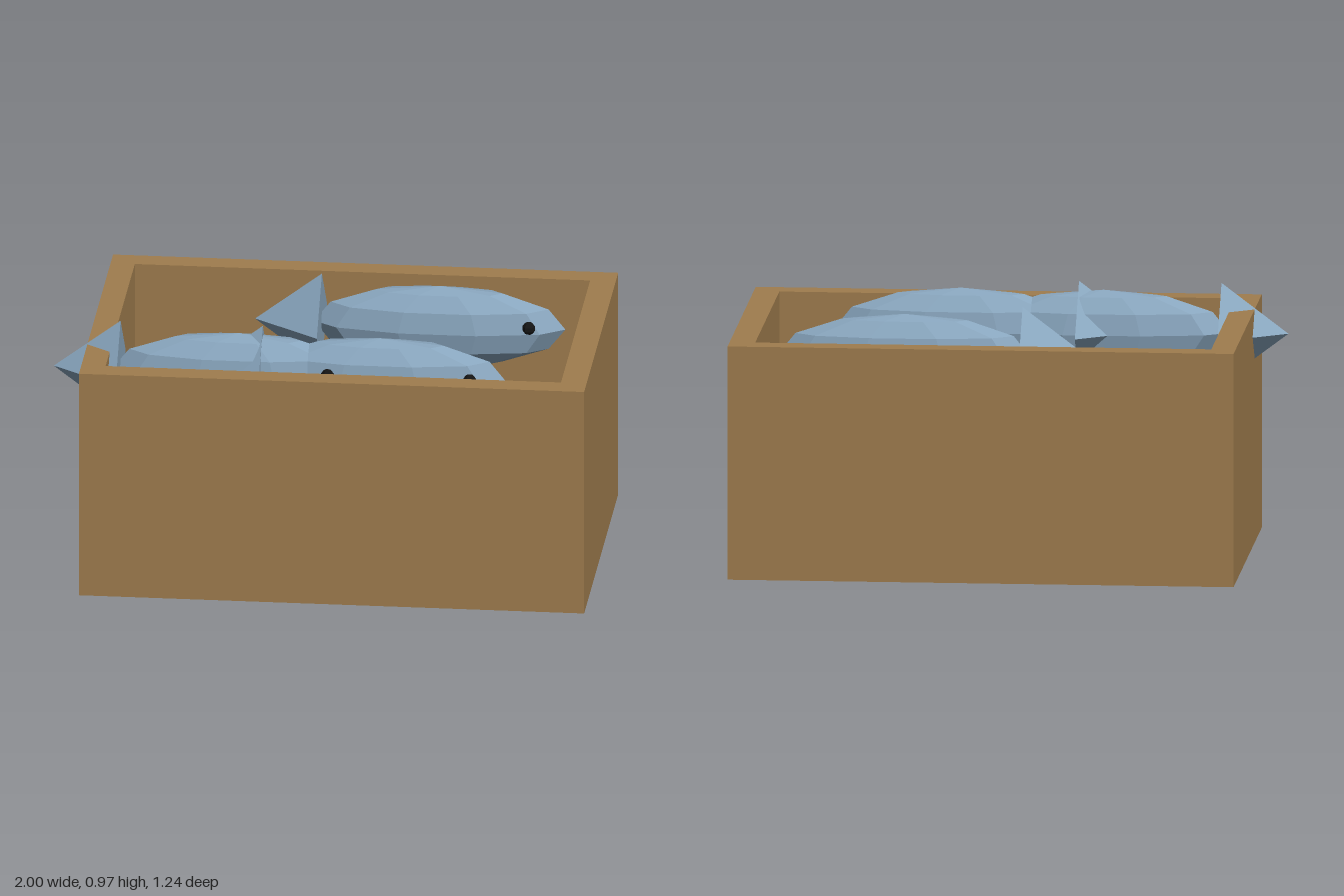
import * as THREE from 'three';

const material = (color) => new THREE.MeshStandardMaterial({ color, flatShading: true });

function addMesh(parent, name, geometry, mat, x, y, z) {
  const mesh = new THREE.Mesh(geometry, mat);
  mesh.name = name;
  mesh.position.set(x, y, z);
  parent.add(mesh);
  return mesh;
}

function rectangle(PathType, x0, x1, z0, z1) {
  return new PathType([[x0, z0], [x1, z0], [x1, z1], [x0, z1]].map(([x, z]) => new THREE.Vector2(x, z)));
}

// Open crate: a floor slab under a hollow rectangular rim
function createCrate(mat) {
  const crate = new THREE.Group();
  crate.name = 'crate';
  const floor = 0.09, height = 0.875;
  const outline = rectangle(THREE.Shape, -0.875, 1, -0.622, 0.622);
  outline.holes.push(rectangle(THREE.Path, -0.785, 0.905, -0.532, 0.532));
  const walls = new THREE.ExtrudeGeometry(outline, { depth: height - floor, bevelEnabled: false });
  walls.rotateX(-Math.PI / 2);
  addMesh(crate, 'crateWalls', walls, mat, 0, floor, 0);
  addMesh(crate, 'crateFloor', new THREE.BoxGeometry(1.875, floor, 1.244), mat, 0.0625, floor / 2, 0);
  return crate;
}

// Fish pointing to +x: faceted ellipsoid, pyramid tail, one eye on the front side
function createFish(skin, black) {
  const fish = new THREE.Group();
  fish.name = 'fish';
  const body = new THREE.SphereGeometry(1, 10, 6).scale(0.467, 0.155, 0.107);
  addMesh(fish, 'body', body, skin, 0, 0, 0);
  const tail = new THREE.ConeGeometry(0.187, 0.248, 4).rotateZ(Math.PI / 2);
  addMesh(fish, 'tail', tail, skin, -0.561, 0, 0);
  addMesh(fish, 'eye', new THREE.SphereGeometry(0.025, 6, 5), black, 0.34, 0.035, 0.092);
  return fish;
}

export function createModel() {
  const model = new THREE.Group();
  model.name = 'crateOfFish';
  model.add(createCrate(material(0xa07d4e)));

  const skin = material(0x88a5bd);
  const black = material(0x151515);
  for (const [x, z] of [[0.375, -0.25], [0.213, 0.312], [-0.315, 0.312]]) {
    const fish = createFish(skin, black);
    fish.position.set(x, 0.785, z);
    model.add(fish);
  }
  return model;
}
